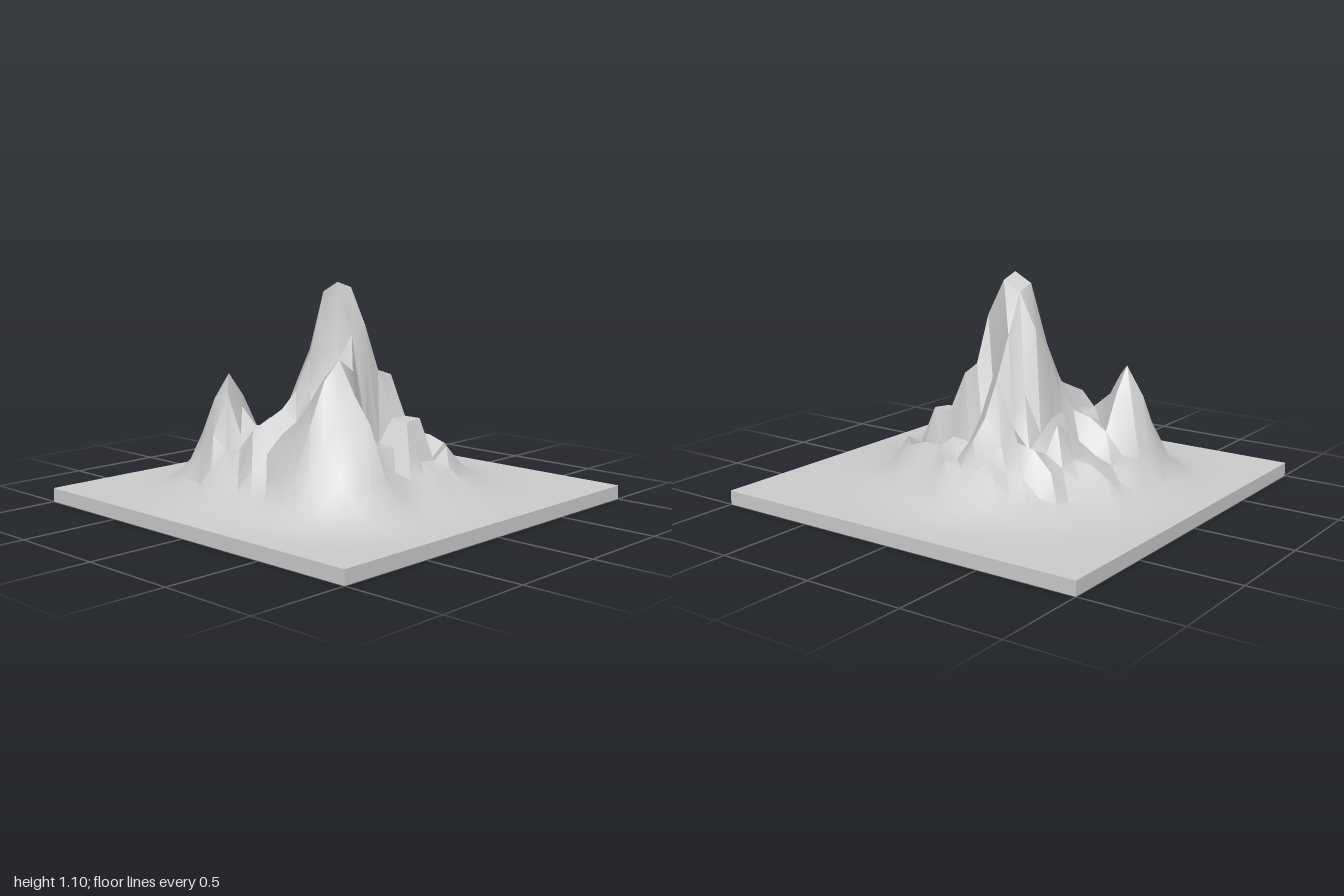
import * as THREE from 'three';
import { toCreasedNormals } from 'three/addons/utils/BufferGeometryUtils.js';

const N = 21;         // grid cells per side
const BASE = 0.07;    // slab thickness

// Crag heights: one short profile per grid row, starting at column 5
const CRAG_COLUMN = 5, CRAG_ROW = 7;
const crags = [
  [0.36, 0.56, 0.48, 0.36, 0.40, 0.30, 0.36, 0.42, 0.30, 0.34, 0.23],
  [0.30, 0.36, 0.40, 0.38, 0.42, 0.43, 0.42, 0.36, 0.30, 0.36, 0.24],
  [0.32, 0.34, 0.38, 0.42, 0.60, 0.76, 0.84, 0.55, 0.40, 0.33, 0.28],
  [0.42, 0.46, 0.50, 0.58, 0.74, 1.05, 1.02, 0.82, 0.62, 0.45, 0.36],
  [0.32, 0.40, 0.45, 0.60, 0.78, 1.10, 1.07, 0.60, 0.43, 0.32, 0.26],
  [0.38, 0.46, 0.50, 0.57, 0.74, 0.85, 0.89, 0.66, 0.63, 0.33, 0.31],
  [0.44, 0.58, 0.68, 0.70, 0.72, 0.40, 0.32, 0.43, 0.43, 0.25, 0.31],
  [0.49, 0.69, 0.775, 0.71, 0.34, 0.32, 0.31, 0.42, 0.43, 0.21, 0.28],
  [0.40, 0.55, 0.62, 0.33, 0.24, 0.21, 0.30, 0.24, 0.23, 0.29, 0.20],
];

const bell = (x, z, cx, cz, height, spread) =>
  height * Math.exp(-((x - cx) ** 2 + (z - cz) ** 2) / spread ** 2);

// Repeatable roughness in -1..1
const rough = (i, j) => {
  const s = Math.sin(i * 12.99 + j * 78.23) * 43758.55;
  return (s - Math.floor(s)) * 2 - 1;
};

function heightAt(i, j) {
  if (i === 0 || j === 0 || i === N || j === N) return BASE;
  const crag = crags[j - CRAG_ROW]?.[i - CRAG_COLUMN];
  if (crag !== undefined) return crag;
  const x = -1 + 2 * i / N, z = -1 + 2 * j / N;
  // Foothills with the flanks of the front and rear side peaks
  const r = Math.hypot(x + 0.05, z);
  const foot = 0.25 * Math.exp(-((r / 0.66) ** 4));
  const front = bell(x, z, -0.33, 0.33, 0.68, x > -0.28 ? 0.15 : 0.25);
  const rear = bell(x, z, -0.33, -0.43, 0.56, 0.165);
  const east = bell(x, z, 0.55, -0.05, 0.12, 0.15);
  const bumps = r < 0.66 ? 0.045 * rough(i, j) : 0;
  return Math.max(BASE, BASE + Math.hypot(foot, front, rear, east) + bumps);
}

export function createModel() {
  const group = new THREE.Group();
  const material = new THREE.MeshStandardMaterial({ color: 0xcccccc });

  // Mountain: a square grid raised by the height rule
  const grid = new THREE.PlaneGeometry(2, 2, N, N).rotateX(-Math.PI / 2);
  const position = grid.attributes.position;
  for (let k = 0; k < position.count; k++) {
    position.setY(k, heightAt(k % (N + 1), Math.floor(k / (N + 1))));
  }
  const mountain = new THREE.Mesh(toCreasedNormals(grid, 0.6), material);
  mountain.name = 'mountain';
  group.add(mountain);

  // Slab under the mountain, its top just below the terrain
  const slabHeight = BASE - 0.001;
  const slab = new THREE.Mesh(new THREE.BoxGeometry(2, slabHeight, 2), material);
  slab.position.y = slabHeight / 2;
  slab.name = 'baseSlab';
  group.add(slab);

  return group;
}
